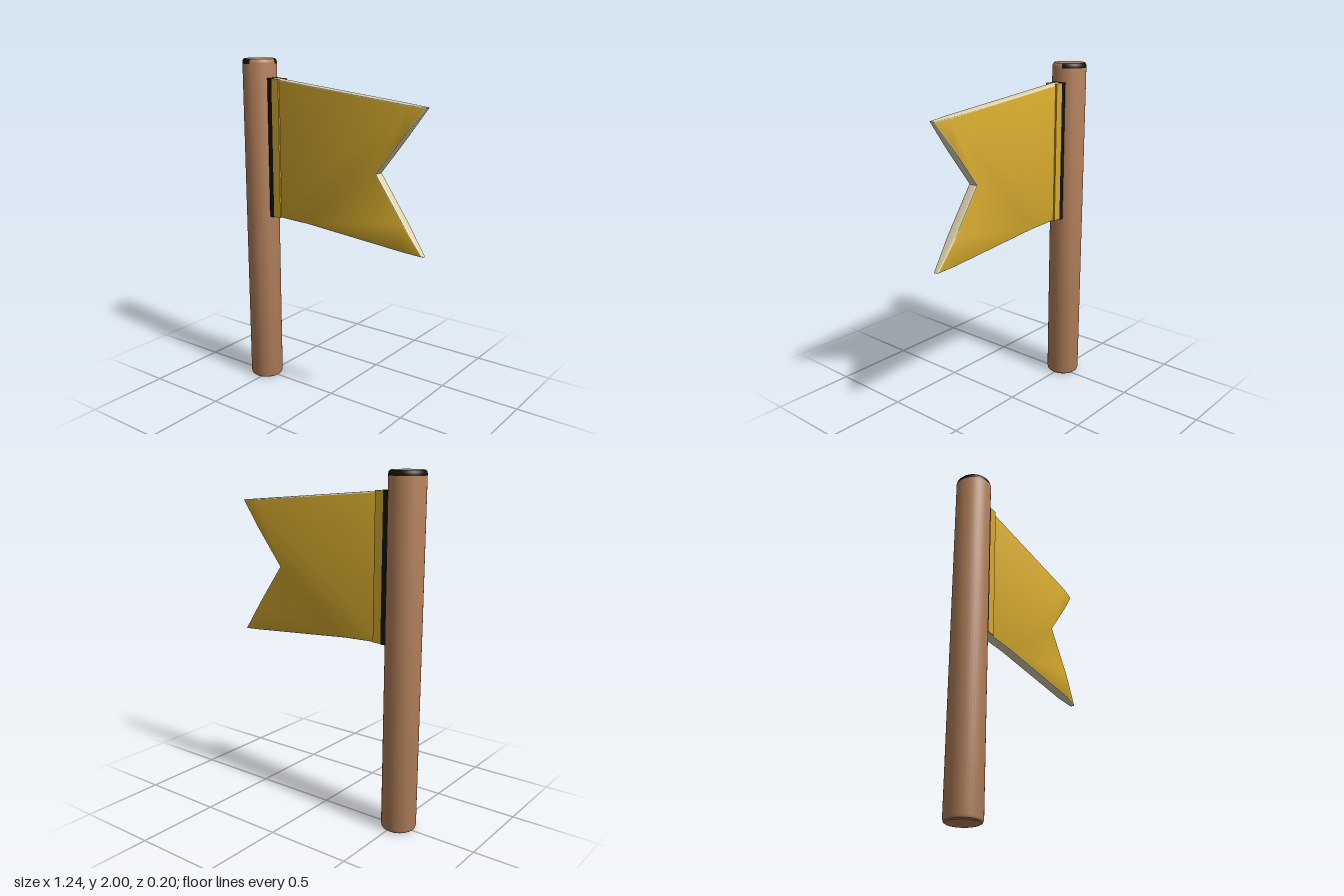
import * as THREE from 'three';
import { toCreasedNormals } from 'three/addons/utils/BufferGeometryUtils.js';

const mat = (name, color) => {
  const m = new THREE.MeshStandardMaterial({ color });
  m.name = name;
  return m;
};

export function createModel() {
  const wood = mat('wood', 0xb27f5a);
  const cloth = mat('yellow cloth', 0xd6aa2e);
  const hem = mat('cream hem', 0xdfd5aa);
  const black = mat('black', 0x121212);

  const group = new THREE.Group();
  group.name = 'flagOnPole';
  const add = (name, geometry, material, x = 0, y = 0, z = 0) => {
    const mesh = new THREE.Mesh(geometry, material);
    mesh.name = name;
    mesh.position.set(x, y, z);
    group.add(mesh);
    return mesh;
  };
  const lathe = (points, start = 0, length = Math.PI * 2) => toCreasedNormals(
    new THREE.LatheGeometry(points.map(([r, y]) => new THREE.Vector2(r, y)), 40, start, length), 0.6);

  // Round pole with softened ends
  const poleX = -0.522;
  add('pole', lathe([[0, 0], [0.088, 0], [0.096, 0.006], [0.1, 0.02],
    [0.1, 1.978], [0.097, 1.99], [0.09, 2], [0, 2]]), wood, poleX);

  // Dark band around most of the top rim
  add('topBand', lathe([[0.1005, 1.972], [0.1005, 1.979], [0.098, 1.991], [0.09, 2.0005]],
    1.75, Math.PI * 2 - 1.65), black, poleX);

  // Bracket joining the cloth to the pole
  add('bracket', new THREE.BoxGeometry(0.045, 0.825, 0.08), black, -0.4225, 1.481);

  // Sleeve plates on both sides of the cloth
  for (const s of [1, -1]) {
    add(s > 0 ? 'frontSleeve' : 'backSleeve',
      new THREE.BoxGeometry(0.05, 0.82, 0.012), cloth, -0.375, 1.482, s * 0.034);
  }

  // Swallow-tailed flag with a rounded hem
  const outline = [[-0.405, 1.893], [-0.405, 1.072], [-0.15, 1.063], [0.5, 1.01], [0.62, 1.0],
    [0.5, 1.171], [0.325, 1.42], [0.5, 1.646], [0.615, 1.795], [0.5, 1.806]];
  const shape = new THREE.Shape(outline.map(([x, y]) => new THREE.Vector2(x, y)));
  const flag = new THREE.ExtrudeGeometry(shape, {
    depth: 0.034, bevelEnabled: true, bevelThickness: 0.013, bevelSize: 0.008,
    bevelOffset: -0.008, bevelSegments: 3,
  });
  flag.translate(0, 0, -0.017);

  // Thin the two tail tips
  const p = flag.attributes.position;
  for (let i = 0; i < p.count; i++) {
    const t = Math.max(0, (p.getX(i) - 0.505) / 0.115);
    p.setZ(i, p.getZ(i) * (1 - 0.5 * t));
  }
  flag.computeVertexNormals();
  add('flag', toCreasedNormals(flag, 0.6), [cloth, hem]);

  return group;
}
